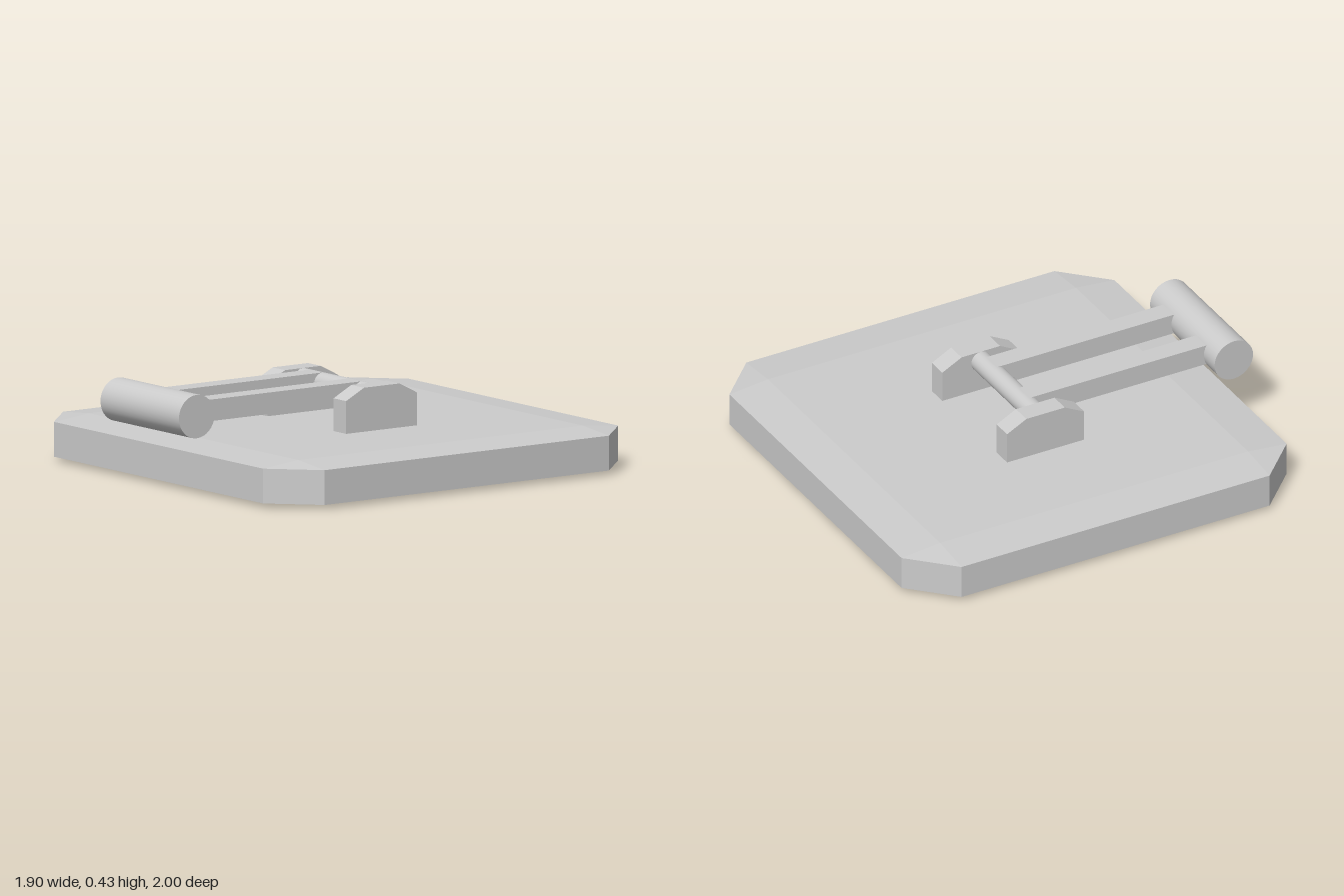
import * as THREE from 'three';
import { ConvexGeometry } from 'three/addons/geometries/ConvexGeometry.js';

const AXLE_Y = 0.335, AXLE_Z = -0.05;

export function createModel() {
  const model = new THREE.Group();
  const material = new THREE.MeshStandardMaterial({ color: 0xcccccc });

  const add = (name, geometry, x, y, z) => {
    const mesh = new THREE.Mesh(geometry, material);
    mesh.name = name;
    mesh.position.set(x, y, z);
    model.add(mesh);
    return mesh;
  };

  // Cylinder lying along x
  const bar = (radius, length) =>
    new THREE.CylinderGeometry(radius, radius, length, 32).rotateZ(Math.PI / 2);

  // Base plate: box with every edge bevelled, the bevel flattened in height
  const half = new THREE.Vector3(0.95, 0.095, 0.95);
  const corners = [];
  for (const sx of [-1, 1]) for (const sy of [-1, 1]) for (const sz of [-1, 1]) {
    for (const [a, b, c] of [[1, 0.8, 0.8], [0.8, 1, 0.8], [0.8, 0.8, 1]]) {
      corners.push(new THREE.Vector3(sx * a, sy * b, sz * c).multiply(half));
    }
  }
  add('basePlate', new ConvexGeometry(corners), 0, 0.095, AXLE_Z);

  // Bracket profile with clipped top corners, (z, y) before turning
  const profile = new THREE.Shape([
    [-0.19, 0.18], [0.19, 0.18], [0.19, 0.333], [0.095, 0.382], [-0.095, 0.382], [-0.19, 0.333],
  ].map(([z, y]) => new THREE.Vector2(z, y)));
  const bracket = new THREE.ExtrudeGeometry(profile, { depth: 0.092, bevelEnabled: false })
    .translate(0, 0, -0.046)
    .rotateY(Math.PI / 2);

  // Brackets and lever arms, mirrored left and right
  for (const [side, s] of [['left', 1], ['right', -1]]) {
    add(side + 'Bracket', bracket, s * 0.286, 0, AXLE_Z);
    add(side + 'Arm', new THREE.BoxGeometry(0.094, 0.094, 0.9), s * 0.143, AXLE_Y, AXLE_Z + 0.45);
  }

  // Axle between the brackets and the round handle at the arm ends
  add('axle', bar(0.047, 0.5), 0, AXLE_Y, AXLE_Z);
  add('handle', bar(0.095, 0.57), 0, AXLE_Y, 0.905);

  return model;
}
